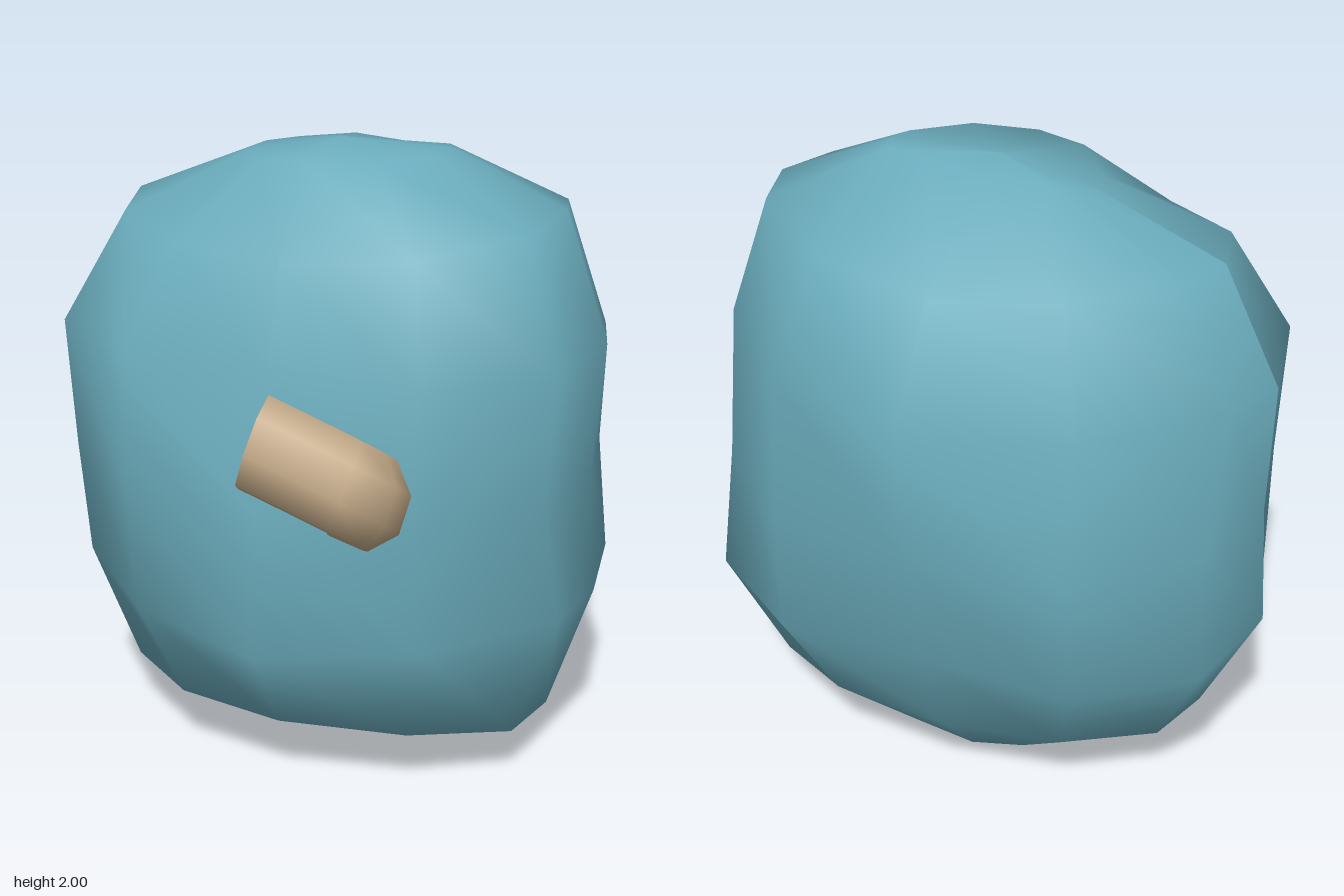
import * as THREE from 'three';

const SIDES = 12;
// Share of the ring's reach to +x and -x, from the middle of the back to the middle of the front
const X_STEPS = [
  [0, 0.55, 0.94, 1, 0.94, 0.55, 0],
  [0, 0.54, 0.91, 1, 0.91, 0.54, 0],
];

// Body rings from top to bottom: reach to +x and -x, heights at +x, -x, front and back,
// and z in seven steps from the back to the front.
const pole = (y) => ({ reach: [0, 0], heights: [y, y, y, y], z: Array(7).fill(-0.15) });
const RINGS = [
  pole(2),
  { reach: [0.36, 0.30], heights: [1.99, 1.94, 1.97, 1.98], z: [-0.30, -0.23, -0.22, -0.16, -0.07, 0.08, 0.12] },
  { reach: [0.73, 0.69], heights: [1.83, 1.78, 1.72, 1.78], z: [-0.69, -0.58, -0.34, -0.16, 0.08, 0.28, 0.35] },
  { reach: [0.87, 0.87], heights: [1.42, 1.42, 1.43, 1.46], z: [-0.91, -0.73, -0.36, -0.17, 0.21, 0.45, 0.44] },
  { reach: [0.84, 0.85], heights: [1.00, 1.00, 1.00, 1.00], z: [-0.86, -0.80, -0.48, -0.16, 0.19, 0.48, 0.55] },
  { reach: [0.87, 0.87], heights: [0.60, 0.60, 0.55, 0.60], z: [-0.76, -0.77, -0.53, -0.16, 0.09, 0.41, 0.60] },
  { reach: [0.73, 0.68], heights: [0.17, 0.23, 0.23, 0.28], z: [-0.65, -0.58, -0.39, -0.16, 0.10, 0.30, 0.38] },
  { reach: [0.36, 0.30], heights: [0.01, 0.07, 0.03, 0.04], z: [-0.43, -0.39, -0.30, -0.16, -0.09, -0.04, -0.02] },
  pole(0),
];

// Low-poly sphere whose rings are reshaped by the table
function createBody() {
  const geometry = new THREE.SphereGeometry(1, SIDES, RINGS.length - 1);
  const position = geometry.attributes.position;
  RINGS.forEach(({ reach, heights, z }, ring) => {
    for (let i = 0; i <= SIDES; i++) {
      // the ring starts at -x, runs over the front to +x and returns over the back
      const angle = (i / SIDES) * Math.PI * 2;
      const c = -Math.cos(angle);
      const s = Math.sin(angle);
      const side = c > 0 ? 0 : 1;
      const step = 3 + Math.round(Math.asin(s) / (Math.PI / 6));
      const x = Math.sign(c) * X_STEPS[side][step] * reach[side];
      const y = c * c * heights[side] + s * s * heights[s > 0 ? 2 : 3];
      position.setXYZ(ring * (SIDES + 1) + i, x, y, z[step]);
    }
  });
  geometry.computeVertexNormals();
  const body = new THREE.Mesh(geometry, new THREE.MeshStandardMaterial({ color: 0x6aabbb }));
  body.name = 'body';
  return body;
}

// Open bent pipe, taller than deep, leaving the front and turning to the side
function createSpout() {
  const stretch = 1.18;
  const path = new THREE.CatmullRomCurve3([
    [0.285, 1.06, 0.45],
    [0.345, 1.11, 0.57],
    [0.40, 1.165, 0.685],
    [0.385, 1.205, 0.745],
    [0.30, 1.25, 0.77],
    [0.105, 1.335, 0.80],
  ].map(([x, y, z]) => new THREE.Vector3(x, y / stretch, z)));
  const geometry = new THREE.TubeGeometry(path, 12, 0.127, 8, false);
  geometry.scale(1, stretch, 1);
  const material = new THREE.MeshStandardMaterial({ color: 0xc4aa88, side: THREE.DoubleSide });
  const spout = new THREE.Mesh(geometry, material);
  spout.name = 'spout';
  return spout;
}

export function createModel() {
  const model = new THREE.Group();
  model.name = 'model';
  model.add(createBody(), createSpout());
  return model;
}
